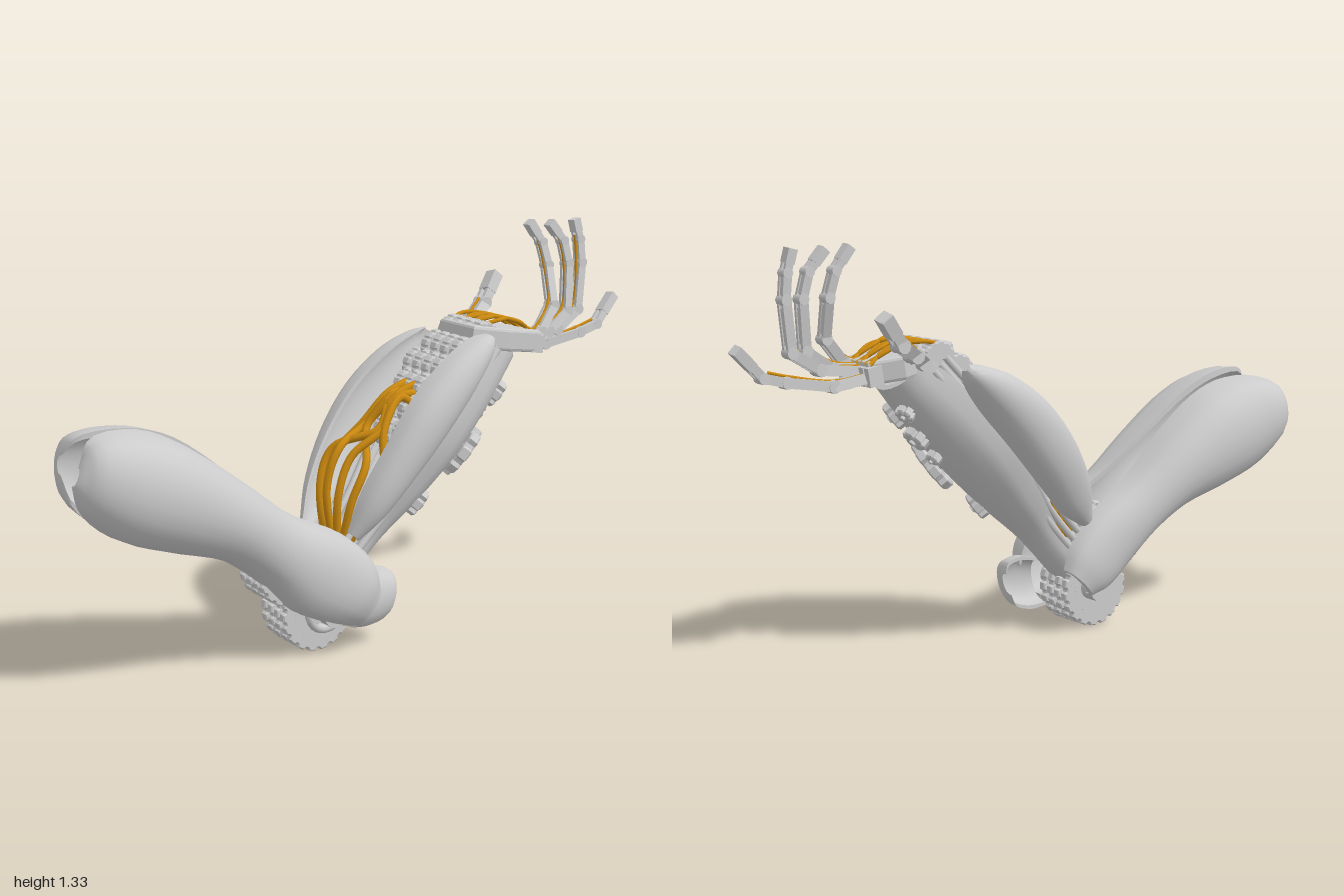
import * as THREE from 'three';
import { toCreasedNormals } from 'three/addons/utils/BufferGeometryUtils.js';

const grey = new THREE.MeshStandardMaterial({ color: 0xcccccc });
const skin = new THREE.MeshStandardMaterial({ color: 0xcccccc, side: THREE.DoubleSide });
const gold = new THREE.MeshStandardMaterial({ color: 0xcc8a10 });
const V = (x, y, z) => new THREE.Vector3(x, y, z);

function add(parent, name, geo, mat = grey, x = 0, y = 0, z = 0) {
  const m = new THREE.Mesh(geo, mat);
  m.name = name;
  m.position.set(x, y, z);
  parent.add(m);
  return m;
}

// Closed surface from looped cross-sections, with caps at both ends
function loft(rows, sides, point) {
  const pos = [], idx = [];
  for (let i = 0; i <= rows; i++)
    for (let j = 0; j < sides; j++) pos.push(...point(i / rows, j / sides));
  for (let i = 0; i < rows; i++)
    for (let j = 0; j < sides; j++) {
      const k = (j + 1) % sides, a = i * sides, b = a + sides;
      idx.push(a + j, a + k, b + k, a + j, b + k, b + j);
    }
  // caps join the outer curve straight to the inner curve
  for (const base of [0, rows * sides])
    for (let j = 0; j < sides / 2 - 1; j++) {
      const a = base + j, b = base + j + 1, c = base + sides - 2 - j, d = base + sides - 1 - j;
      if (base) idx.push(a, b, c, a, c, d);
      else idx.push(a, c, b, a, d, c);
    }
  const g = new THREE.BufferGeometry();
  g.setAttribute('position', new THREE.Float32BufferAttribute(pos, 3));
  g.setIndex(idx);
  return toCreasedNormals(g, 0.75);
}

// Position round a thick C section: angle 0..PI and whether on the inner face
function cSection(u) {
  const n = 12, k = Math.round(u * n * 2);
  return k < n ? [Math.PI * k / (n - 1), 0] : [Math.PI * (2 * n - 1 - k) / (n - 1), 1];
}

// Curved cover; each row is [topZ, topY, bottomZ, bottomY, edgeX, outerX]
function cover(data) {
  const top = new THREE.CatmullRomCurve3(data.map(r => V(r[0], r[1], r[4])));
  const bot = new THREE.CatmullRomCurve3(data.map(r => V(r[2], r[3], r[5])));
  return loft(28, 24, (t, u) => {
    const [f, inner] = cSection(u), p = top.getPoint(t), q = bot.getPoint(t);
    const k = (1 - Math.cos(f) * (inner ? 0.86 : 1)) / 2;
    const depth = (q.z - p.z) * (inner ? 0.66 : 1);
    const x = p.z + depth * Math.pow(Math.max(0, Math.sin(f)), 0.65);
    return [x, p.y + (q.y - p.y) * k, p.x + (q.x - p.x) * k];
  });
}

// Toothed ring extruded along z, centred
function gearGeo(r, teeth, thick, hole = 0.5, depth = 0.12) {
  const s = new THREE.Shape();
  for (let i = 0; i < teeth; i++)
    [[0, 1 - depth], [0.3, 1 - depth], [0.45, 1], [0.87, 1]].forEach(([o, k], j) => {
      const a = (i + o) / teeth * Math.PI * 2;
      s[i + j ? 'lineTo' : 'moveTo'](Math.cos(a) * r * k, Math.sin(a) * r * k);
    });
  s.closePath();
  s.holes.push(new THREE.Path().absarc(0, 0, r * hole, 0, Math.PI * 2, true));
  const b = thick * 0.15;
  return new THREE.ExtrudeGeometry(s, { depth: thick - 2 * b, bevelSize: b, bevelThickness: b, bevelSegments: 1, curveSegments: 14 })
    .translate(0, 0, b - thick / 2);
}

// Row of toothed discs on one crosswise axle
function gearStack(parent, name, x, y, z, r, count, gap, teeth) {
  const g = new THREE.Group();
  g.name = name;
  g.position.set(x, y, z);
  const geo = gearGeo(r, teeth, gap * 0.7, 0.6, 0.07).rotateY(Math.PI / 2);
  for (let i = 0; i < count; i++) add(g, 'toothedDisc', geo, grey, (i - (count - 1) / 2) * gap).rotation.x = i * 0.04;
  add(g, 'axle', new THREE.CylinderGeometry(r * 0.7, r * 0.7, count * gap * 0.93, 20).rotateZ(Math.PI / 2));
  parent.add(g);
}

const tube = (pts, r, n = 24) => new THREE.TubeGeometry(new THREE.CatmullRomCurve3(pts.map(p => V(...p))), n, r, 7);

// Straight bar between two points
function bar(parent, name, a, b, w, d) {
  const m = add(parent, name, new THREE.BoxGeometry(w, a.distanceTo(b), d));
  m.position.copy(a).lerp(b, 0.5);
  m.quaternion.setFromUnitVectors(V(0, 1, 0), b.clone().sub(a).normalize());
}

// Jointed finger: twin bars, a core, knuckle pins and a tendon
function finger(parent, name, pts, w = 0.042) {
  const g = new THREE.Group();
  g.name = name;
  const p = pts.map(q => V(...q));
  for (let i = 0; i < p.length - 1; i++) {
    const k = w * (1 - i * 0.06), last = i === p.length - 2;
    for (const s of [-1, 1]) {
      const o = V(s * k * 0.34, 0, 0);
      bar(g, 'phalanxSide', p[i].clone().add(o), p[i + 1].clone().add(o), k * 0.3, k * 0.8);
    }
    bar(g, last ? 'fingertip' : 'phalanxCore', p[i].clone().lerp(p[i + 1], last ? 0.4 : 0.15),
      p[i].clone().lerp(p[i + 1], last ? 1.02 : 0.85), k * (last ? 1.05 : 0.6), k * (last ? 0.95 : 0.6));
    add(g, 'knuckle', new THREE.CylinderGeometry(k * 0.52, k * 0.52, k * 1.15, 10).rotateZ(Math.PI / 2), grey, ...p[i].toArray());
  }
  add(g, 'tendon', tube(pts.slice(0, -1).map(q => [q[0], q[1] + 0.016, q[2] + 0.016]), 0.005), gold);
  parent.add(g);
}

export function createModel() {
  const root = new THREE.Group(), arm = new THREE.Group();
  arm.name = 'arm';
  arm.rotation.y = -Math.PI / 6;
  root.add(arm);

  // Upper arm covers and the cuff at the elbow
  add(arm, 'leftUpperArmCover', cover([
    [1.02, .74, 1.045, .68, .15, .18], [.97, .81, 1.01, .59, .12, .24], [.8, .81, .9, .49, .09, .29],
    [.66, .75, .74, .43, .09, .3], [.48, .62, .55, .37, .1, .29], [.3, .48, .41, .27, .13, .27],
    [.11, .385, .3, .16, .15, .28], [.02, .29, .17, .1, .16, .28], [-.005, .21, .09, .08, .17, .25]]), skin);
  add(arm, 'rightUpperArmCover', cover([
    [.985, .73, .99, .66, -.05, -.09], [.95, .79, .975, .57, 0, -.14], [.8, .8, .87, .48, .02, -.155],
    [.66, .76, .7, .42, .02, -.16], [.5, .65, .52, .37, .02, -.145], [.33, .5, .4, .3, .01, -.12],
    [.15, .385, .29, .21, -.01, -.11], [.06, .29, .2, .14, -.02, -.105], [.03, .22, .13, .12, -.03, -.09]]), skin);
  add(arm, 'elbowCuff', cover([
    [.05, .23, .08, .06, .13, .225], [-.03, .245, .02, .055, .13, .225], [-.08, .23, -.045, .075, .13, .215], [-.09, .2, -.065, .11, .13, .18]]), skin);

  // Elbow gears, axle and linking brackets
  gearStack(arm, 'lowerElbowGears', .068, .13, .19, .128, 4, .039, 18);
  gearStack(arm, 'upperElbowGears', .085, .285, .305, .105, 4, .038, 16);
  add(arm, 'elbowAxle', new THREE.CylinderGeometry(.045, .045, .28, 18).rotateZ(Math.PI / 2), grey, .08, .14, .17);
  add(arm, 'elbowRing', new THREE.TorusGeometry(.06, .016, 8, 24).rotateY(Math.PI / 2), grey, .165, .14, .18);
  for (const x of [-.03, .17]) bar(arm, 'elbowBracket', V(x, .12, .19), V(x, .31, .3), .02, .07);

  // Forearm: y runs to the wrist, z faces the inner side
  const fore = new THREE.Group();
  fore.name = 'forearm';
  fore.position.set(.07, .2, .13);
  fore.rotation.x = -.757;
  arm.add(fore);

  // Back trough; rows are [along, half width, rim, depth]
  const trough = [[0, .09, .02, .08], [.2, .09, .03, .09], [.4, .14, .05, .13], [.6, .175, .07, .16], [.8, .16, .08, .17], [1, .11, .07, .15]];
  const ca = new THREE.CatmullRomCurve3(trough.map(r => V(r[0], r[1], 0)));
  const cb = new THREE.CatmullRomCurve3(trough.map(r => V(r[2], r[3], 0)));
  add(fore, 'backPlate', loft(24, 24, (t, u) => {
    const [f, inner] = cSection(u), a = ca.getPoint(t), b = cb.getPoint(t), th = inner * .02;
    return [(a.y - th) * Math.cos(f), a.x, b.x - (b.y - th) * Math.pow(Math.max(0, Math.sin(f)), .75)];
  }), skin);

  // Forearm covers, standing off from the trough
  add(fore, 'leftForearmCover', cover([
    [.115, .16, .07, .16, .11, .14], [.17, .28, .065, .25, .12, .19], [.21, .44, .07, .44, .14, .225], [.235, .62, .075, .62, .14, .24],
    [.215, .8, .08, .8, .13, .225], [.17, .92, .09, .92, .12, .19], [.14, .96, .11, .96, .13, .165]]), skin);
  add(fore, 'rightForearmCover', cover([
    [.15, .12, .1, .12, -.08, -.11], [.2, .25, .06, .25, -.12, -.18], [.23, .43, .05, .43, -.16, -.25], [.235, .62, .05, .62, -.18, -.285],
    [.195, .8, .05, .8, -.19, -.295], [.135, .91, .06, .91, -.21, -.28], [.1, .95, .075, .95, -.23, -.255]]), skin);

  // Side rails and inner struts
  for (const s of [-1, 1]) {
    for (let i = 0; i < 3; i++)
      add(fore, 'sideRail', tube([[s * .08, 0, .02 + i * .03], [s * .09, .25, .02 + i * .03], [s * .15, .55, .04 + i * .03], [s * .115, .96, .05 + i * .03]], .012));
    bar(fore, 'innerStrut', V(s * .045, .02, .0), V(s * .06, .95, .05), .03, .035);
  }

  // Ribbed discs packed toward the wrist
  [3, 4, 4, 5, 4, 4].forEach((n, i) =>
    gearStack(fore, 'wristRibs', -.005, .55 + i * .082, .085 + (i > 0 && i < 5 ? .03 : .01), .056, n, .053, 12));

  // Turbine and small gears on the back, turned outward
  const hub = new THREE.Group();
  hub.name = 'turbine';
  hub.position.set(.085, .63, -.09);
  hub.rotation.y = -.45;
  fore.add(hub);
  add(hub, 'turbineRing', gearGeo(.088, 8, .035, .7, .14));
  add(hub, 'turbineCore', new THREE.CylinderGeometry(.022, .03, .04, 14).rotateX(-Math.PI / 2));
  for (let i = 0; i < 12; i++) {
    const a = i * Math.PI / 6;
    add(hub, 'blade', new THREE.BoxGeometry(.045, .009, .02), grey, Math.cos(a) * .042, Math.sin(a) * .042).rotation.set(.4, 0, a);
  }
  for (const [x, y, r, z] of [[.075, .4, .042, -.07], [0, .79, .038, -.1], [.075, .86, .042, -.075], [-.04, .9, .026, -.085], [-.01, .7, .02, -.1]]) {
    const g = add(fore, 'smallGear', gearGeo(r, 6, .035, .45, .25), grey, x, y, z);
    g.rotation.y = -x * 6;
    add(g, 'gearPin', new THREE.CylinderGeometry(r * .3, r * .3, .05, 10).rotateX(Math.PI / 2));
  }

  // Cables looping over the inner forearm
  [[-.07, -.09, .2], [-.04, -.06, .24], [-.015, -.01, .25], [.01, .03, .22], [.035, .07, .18], [.055, .11, .12]].forEach(([x0, x1, h], i) =>
    add(fore, 'cable', tube([[x0 * .7, .74 - i % 3 * .05, .14], [x0 * .6, .63, .2], [x0 * .3 + (i % 2 ? .05 : -.04), .5, .2], [x1, .37, h], [x1 * 1.05, .25, h * .8], [x1 * .6, .12, .05]], .0135, 36), gold));

  // Palm, sloping gently down toward the knuckles
  const palm = new THREE.Group();
  palm.name = 'palm';
  palm.position.set(.065, .962, -.555);
  palm.rotation.x = -.16;
  arm.add(palm);
  const shape = new THREE.Shape([[-.07, -.15], [.1, -.15], [.12, -.03], [.09, .13], [-.05, .13], [-.095, .04]].map(q => new THREE.Vector2(...q)));
  add(palm, 'palmPlate', new THREE.ExtrudeGeometry(shape, { depth: .055, bevelSize: .01, bevelThickness: .01, bevelSegments: 2 }).rotateX(-Math.PI / 2), grey, 0, -.035);
  for (let i = 0; i < 6; i++) {
    const x = -.07 + i * .028, s = i % 2 ? 1 : -1;
    add(palm, 'knuckleBlock', new THREE.BoxGeometry(.024, .06, .05), grey, -.065 + i * .031, -.015, -.13);
    add(palm, 'palmTendon', tube([[x, .02, .13], [x + s * .025, .055, .05], [x - s * .025, .055, -.05], [x * .9, .02, -.14]], .007), gold);
    add(palm, 'wristTooth', new THREE.BoxGeometry(.026, .07, .03), grey, -.08 + i * .034, -.03, .12);
  }

  // Fingers: one reaches out, three curl up one behind another, thumb to the side
  finger(arm, 'firstFinger', [[.14, .945, -.65], [.12, .96, -.72], [.09, 1.04, -.8], [.036, 1.17, -.818], [.024, 1.25, -.8], [.018, 1.32, -.75]]);
  finger(arm, 'secondFinger', [[.1, .94, -.66], [.09, .95, -.78], [.07, 1.01, -.88], [.044, 1.17, -.903], [.036, 1.25, -.885], [.031, 1.315, -.83]]);
  finger(arm, 'thirdFinger', [[.06, .935, -.67], [.075, .95, -.83], [.06, 1.01, -.935], [.045, 1.17, -.96], [.038, 1.25, -.957], [.033, 1.32, -.94]]);
  finger(arm, 'outstretchedFinger', [[.02, .925, -.67], [.05, .9, -.8], [.05, .925, -.96], [.045, .945, -1.04], [.024, 1.035, -1.135]]);
  finger(arm, 'thumb', [[-.03, .96, -.53], [-.08, .99, -.59], [-.13, 1.03, -.67], [-.16, 1.12, -.745]], .05);
  return root;
}
